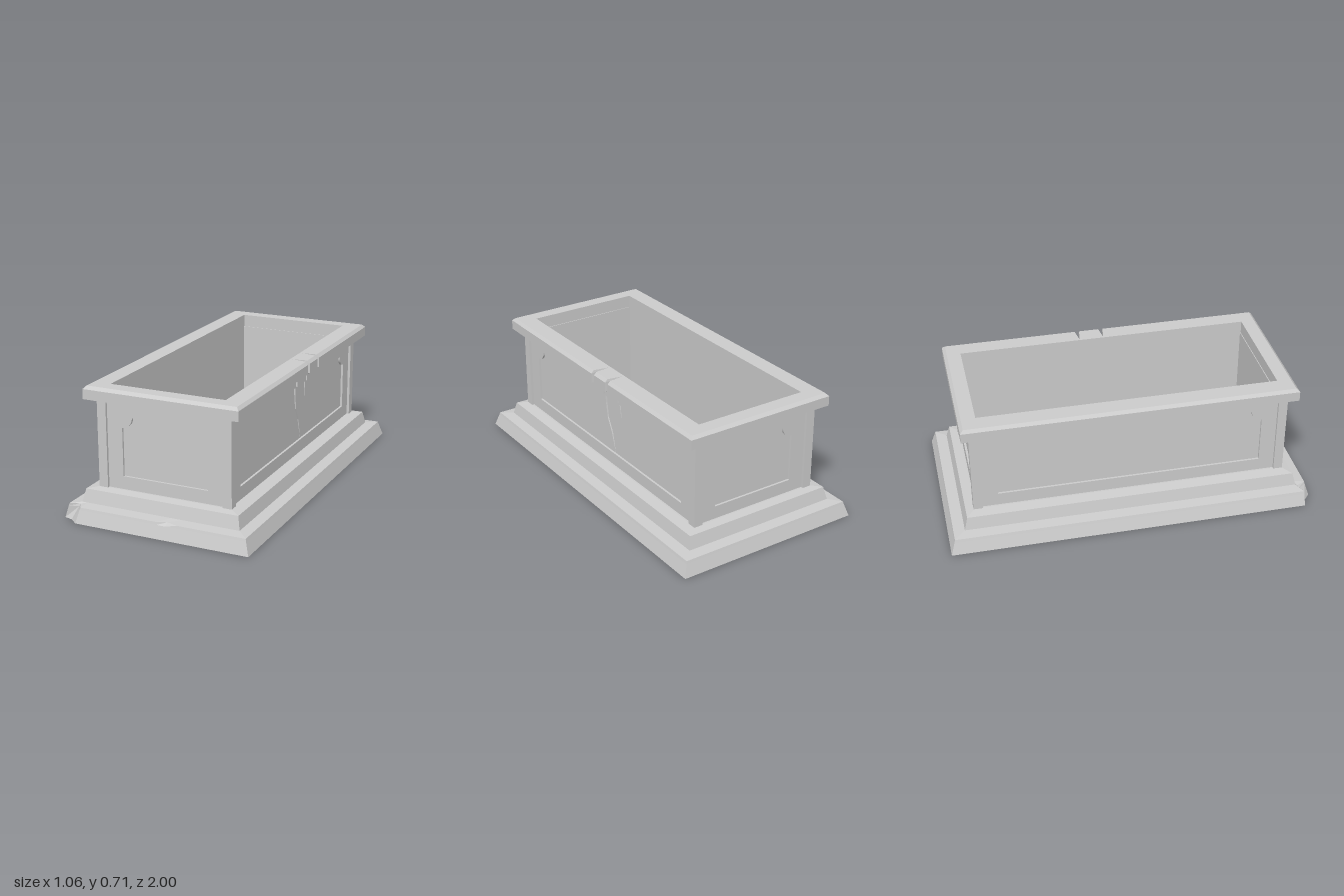
import * as THREE from 'three';

const stone = new THREE.MeshStandardMaterial({ color: 0xcccccc, flatShading: true });

function part(name, geometry) {
  const mesh = new THREE.Mesh(geometry, stone);
  mesh.name = name;
  return mesh;
}

// Skin between matching loops: levels = [[y, [[x, z], ...]], ...]
function loft(levels) {
  const pos = [];
  for (let k = 0; k < levels.length - 1; k++) {
    const [y0, lo] = levels[k], [y1, hi] = levels[k + 1];
    lo.forEach((p, i) => {
      const j = (i + 1) % lo.length;
      const a = [p[0], y0, p[1]], b = [lo[j][0], y0, lo[j][1]];
      const c = [hi[j][0], y1, hi[j][1]], d = [hi[i][0], y1, hi[i][1]];
      pos.push(...a, ...b, ...c, ...a, ...c, ...d);
    });
  }
  const g = new THREE.BufferGeometry();
  g.setAttribute('position', new THREE.Float32BufferAttribute(pos, 3));
  g.computeVertexNormals();
  return g;
}

// Horizontal cap over a loop, facing up (dir 1) or down (dir -1)
function cap(loop, y, dir, hole) {
  const pts = l => l.map(([x, z]) => new THREE.Vector2(x, -dir * z));
  const s = new THREE.Shape(pts(loop));
  if (hole) s.holes.push(new THREE.Path(pts(hole)));
  return new THREE.ShapeGeometry(s).rotateX(-dir * Math.PI / 2).translate(0, y, 0);
}

const rect = (hx, hz) => [[-hx, hz], [hx, hz], [hx, -hz], [-hx, -hz]];

// Plinth loop: left side, chipped corner, front edge chip, remaining corners
function plinthLoop(hx, hz, corner, dip = 0) {
  const chip = corner || [[-hx, hz], [-hx, hz], [-hx + 0.03, hz]];
  return [...chip, [0.02, hz], [0.07, hz - dip], [0.13, hz], [hx, hz], [hx, -hz], [-hx, -hz]];
}

// Rim loop with two V-shaped breaks on the left side
function rimLoop(hx, hz) {
  const pts = [[-hx, hz], [hx, hz]];
  for (const z of [0, -0.135]) pts.push([hx, z + 0.013], [0.33, z - 0.002], [hx, z - 0.013]);
  return [...pts, [hx, -hz], [-hx, -hz]];
}

// Cracks as [u, y, half width], running down to a point
const cracks = [
  [[0, 0.629, 0.009], [-0.001, 0.557, 0.009], [0.004, 0.5, 0.008], [0.018, 0.42, 0.007],
    [0.055, 0.35, 0.007], [0.087, 0.24, 0.001]],
  [[0.135, 0.629, 0.009], [0.137, 0.557, 0.007], [0.15, 0.46, 0.001]],
];
const crackPath = c => new THREE.Path([
  ...c.map(([u, y, w]) => new THREE.Vector2(u - w, y)),
  ...[...c].reverse().map(([u, y, w]) => new THREE.Vector2(u + w, y)),
]);

const PANEL_TOP = 0.553, PANEL_BOTTOM = 0.235, NOTCH = 0.058;

// Sunken panel outline with hollow upper corners; cracks break its top edge
function panelOutline(h, broken) {
  const p = new THREE.Path();
  p.moveTo(-h, PANEL_BOTTOM);
  p.lineTo(-h, PANEL_TOP - NOTCH);
  p.lineTo(-h + 0.014, PANEL_TOP - NOTCH + 0.002);
  p.absarc(-h, PANEL_TOP, NOTCH, -1.3, -0.27, false);
  p.lineTo(-h + NOTCH, PANEL_TOP);
  for (const [top, edge] of broken ? cracks.map(c => [c[0], c[1]]) : []) {
    p.lineTo(edge[0] - edge[2], PANEL_TOP);
    p.lineTo(top[0] - top[2], top[1]);
    p.lineTo(top[0] + top[2], top[1]);
    p.lineTo(edge[0] + edge[2], PANEL_TOP);
  }
  p.lineTo(h - NOTCH, PANEL_TOP);
  p.absarc(h, PANEL_TOP, NOTCH, Math.PI + 0.27, Math.PI + 1.3, false);
  p.lineTo(h, PANEL_TOP - NOTCH);
  p.lineTo(h, PANEL_BOTTOM);
  return p;
}

// Wall of three layers: backing, field and frame around the sunken panel
function wall(name, half, panelHalf, face, angle, broken) {
  const group = new THREE.Group();
  group.name = name;
  const layer = (label, holes, depth, z) => {
    const s = new THREE.Shape([[-half, 0.155], [half, 0.155], [half, 0.635], [-half, 0.635]]
      .map(p => new THREE.Vector2(...p)));
    s.holes.push(...holes);
    const g = new THREE.ExtrudeGeometry(s, { depth, bevelEnabled: false, curveSegments: 5 });
    group.add(part(label, g.translate(0, 0, z)));
  };
  layer('wallBacking', [], 0.014, face - 0.04);
  layer('panelField', broken ? cracks.map(crackPath) : [], 0.014, face - 0.026);
  layer('panelFrame', [panelOutline(panelHalf, broken)], 0.012, face - 0.012);
  group.rotation.y = angle;
  return group;
}

export function createModel() {
  const model = new THREE.Group();

  // Two-step plinth with a broken corner and a small chip in front
  const foot = plinthLoop(0.53, 1, [[-0.53, 0.95], [-0.485, 0.962], [-0.44, 1]]);
  const mid = plinthLoop(0.509, 0.979, [[-0.509, 0.946], [-0.455, 0.932], [-0.425, 0.979]]);
  const ledge = plinthLoop(0.505, 0.975, [[-0.505, 0.945], [-0.447, 0.925], [-0.42, 0.975]], 0.02);
  model.add(part('plinth', loft([
    [0, foot], [0.067, mid], [0.081, ledge],
    [0.088, plinthLoop(0.445, 0.915)], [0.157, plinthLoop(0.43, 0.897)],
    [0.165, plinthLoop(0.37, 0.85)], [0.165, plinthLoop(0.33, 0.815)],
  ])));
  model.add(part('plinthUnderside', cap(foot, 0, -1)));

  // Panelled walls
  model.add(wall('frontWall', 0.326, 0.24, 0.841, 0, false));
  model.add(wall('backWall', 0.326, 0.24, 0.841, Math.PI, false));
  model.add(wall('leftWall', 0.806, 0.72, 0.361, Math.PI / 2, true));
  model.add(wall('rightWall', 0.806, 0.72, 0.361, -Math.PI / 2, false));

  // Corner posts
  for (const sx of [-1, 1]) for (const sz of [-1, 1]) {
    const post = part('cornerPost', new THREE.BoxGeometry(0.05, 0.475, 0.05));
    post.position.set(sx * 0.35, 0.3975, sz * 0.83);
    model.add(post);
  }

  // Moulded rim
  const inner = rect(0.32, 0.805), rimTop = rimLoop(0.415, 0.88);
  model.add(part('rim', loft([
    [0.627, rimLoop(0.34, 0.82)], [0.627, rimLoop(0.374, 0.854)],
    [0.637, rimLoop(0.43, 0.897)], [0.69, rimLoop(0.43, 0.897)], [0.706, rimTop],
  ])));
  model.add(part('rimTop', cap(rimTop, 0.706, 1, inner)));

  // Hollow interior
  model.add(part('innerWalls', loft([[0.706, inner], [0.09, inner]])));
  model.add(part('innerFloor', cap(inner, 0.09, 1)));

  return model;
}
